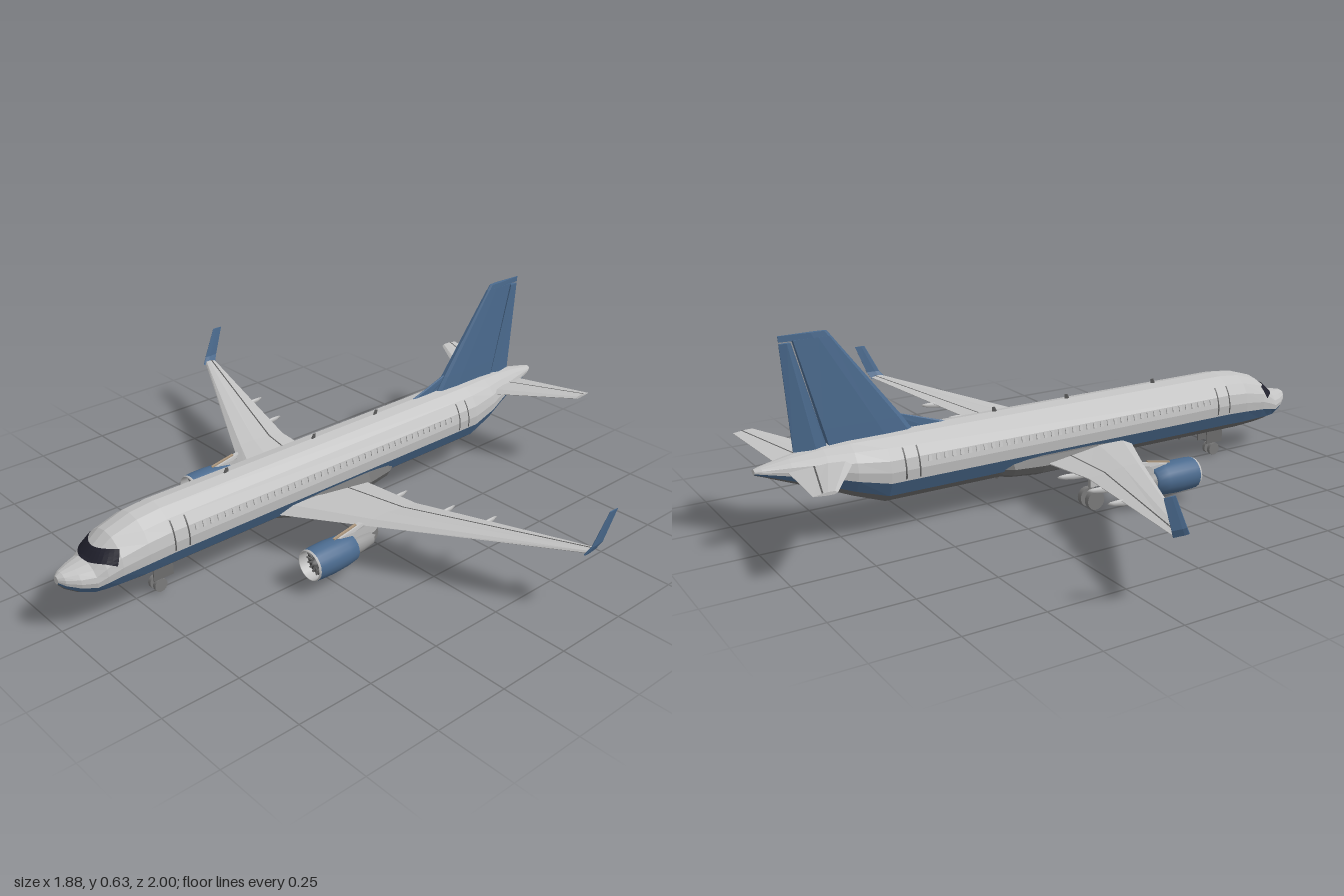
import * as THREE from 'three';
import { mergeGeometries } from 'three/addons/utils/BufferGeometryUtils.js';

const mat = (name, color, side = THREE.FrontSide) => new THREE.MeshStandardMaterial({ name, color, side });
const rad = THREE.MathUtils.degToRad;

// Skin joining closed loops of points, with end caps; flat-faced, one group per column
function loft(rings, colourOf) {
  const n = rings[0].length, last = (rings.length - 1) * n, idx = [], pos = rings.flat(2);
  const geo = new THREE.BufferGeometry();
  for (let j = 0; j < n; j++) {
    const start = idx.length, k = (j + 1) % n;
    for (let i = 0; i < last; i += n) idx.push(i + j, i + k, i + n + k, i + j, i + n + k, i + n + j);
    if (colourOf) geo.addGroup(start, idx.length - start, colourOf(j));
  }
  const capStart = idx.length;
  for (let j = 1; j < n - 1; j++) idx.push(0, j + 1, j, last, last + j, last + j + 1);
  if (colourOf) geo.addGroup(capStart, idx.length - capStart, 0);
  // turn the faces outward whichever way the loops run
  const v = (i) => new THREE.Vector3().fromArray(pos, idx[i] * 3);
  let volume = 0;
  for (let i = 0; i < idx.length; i += 3) volume += v(i).dot(v(i + 1).cross(v(i + 2)));
  if (volume < 0) for (let i = 0; i < idx.length; i += 3) [idx[i], idx[i + 1]] = [idx[i + 1], idx[i]];
  geo.setAttribute('position', new THREE.Float32BufferAttribute(pos, 3));
  geo.setIndex(idx);
  const flat = geo.toNonIndexed();
  flat.computeVertexNormals();
  return flat;
}

// Open sheet sampled from a function of u, v
function sheet(fn, nu, nv) {
  const pos = [];
  for (let i = 0; i < nu; i++) for (let j = 0; j < nv; j++) {
    const p = (a, b) => fn((i + a) / nu, (j + b) / nv);
    pos.push(...p(0, 0), ...p(1, 0), ...p(1, 1), ...p(0, 0), ...p(1, 1), ...p(0, 1));
  }
  const geo = new THREE.BufferGeometry();
  geo.setAttribute('position', new THREE.Float32BufferAttribute(pos, 3));
  geo.computeVertexNormals();
  return geo;
}

// Aerofoil surfaces; stations are [x, y, leading z, trailing z, thickness]
const FOIL = [[0, 0], [0.12, 0.5], [0.4, 0.55], [1, 0.04], [1, -0.04], [0.4, -0.4], [0.12, -0.4]];
const wingFoil = (st) => loft(st.map(([x, y, a, b, t]) => FOIL.map(([f, h]) => [x, y + h * t, a + (b - a) * f])));
// upright foil with chosen bluntness of the front and back edges
const finFoil = (st, front = 0.1, back = 0.08) => loft(st.map(([x, y, a, b, t]) =>
  [[0, front], [0.06, 0.4], [0.35, 0.5], [1, back], [1, -back], [0.35, -0.5], [0.06, -0.4], [0, -front]]
    .map(([f, h]) => [x + h * t, y, a + (b - a) * f])));

// Fuselage outline: [z, top, bottom, half width]
const HULL = [[1, 0.185, 0.16, 0.012], [0.985, 0.193, 0.142, 0.03], [0.95, 0.2, 0.12, 0.055], [0.91, 0.207, 0.106, 0.074],
  [0.88, 0.236, 0.1, 0.083], [0.835, 0.269, 0.095, 0.092], [0.75, 0.295, 0.09, 0.099], [0.67, 0.303, 0.09, 0.1],
  [-0.62, 0.303, 0.09, 0.1], [-0.72, 0.301, 0.128, 0.09], [-0.8, 0.295, 0.163, 0.068], [-0.9, 0.28, 0.202, 0.043],
  [-0.98, 0.264, 0.235, 0.022], [-1, 0.259, 0.242, 0.012]];
function hull(z, deg, off = 0) {
  let i = 0;
  while (i < HULL.length - 2 && z < HULL[i + 1][0]) i++;
  const k = (HULL[i][0] - z) / (HULL[i][0] - HULL[i + 1][0]);
  const [top, bot, w] = [1, 2, 3].map((c) => THREE.MathUtils.lerp(HULL[i][c], HULL[i + 1][c], k));
  return [(w + off) * Math.cos(rad(deg)), (top + bot) / 2 + ((top - bot) / 2 + off) * Math.sin(rad(deg)), z];
}

export function createModel() {
  const root = new THREE.Group();
  root.name = 'airliner';
  const grey = mat('light grey paint', 0xc2c2c2), blue = mat('blue paint', 0x4b6b8f), under = mat('belly grey', 0x6e6e6e);
  const glass = mat('dark glass', 0x20202c, THREE.DoubleSide), seam = mat('dark seam', 0x5a5a5a, THREE.DoubleSide);
  const metal = mat('metal', 0x9a9a9a), rubber = mat('wheel grey', 0x7c7c7c);
  const dark = mat('fan dark', 0x4a4a4a), tan = mat('tan', 0xb09a80);
  const add = (name, geo, m, parent = root) => {
    const mesh = new THREE.Mesh(geo, m);
    mesh.name = name;
    parent.add(mesh);
    return mesh;
  };
  const box = (w, h, d, x, y, z) => new THREE.BoxGeometry(w, h, d).translate(x, y, z);

  // Fuselage with a blue band low on each side and a darker belly
  const half = [90, 68, 45, 23, 4, -14, -42, -66];
  const angles = [...half, -90, ...half.slice(1).reverse().map((a) => 180 - a)];
  const bandOf = (j) => (j === 5 || j === 10 ? 1 : j > 5 && j < 10 ? 2 : 0);
  add('fuselage', loft(HULL.map(([z]) => angles.map((a) => hull(z, a))), bandOf), [grey, blue, under]);

  // Wraparound cockpit windscreen
  add('windscreen', sheet((u, v) => {
    const t = u * 2 - 1, s = Math.abs(t);
    const a = THREE.MathUtils.lerp(90 - 75 * s, 90 - 50 * s, v);
    return hull(THREE.MathUtils.lerp(0.914 - 0.062 * s * s, 0.88 - 0.047 * s * s, v), t < 0 ? 180 - a : a, 0.003);
  }, 16, 4), glass);

  // Belly fairing between the wings
  const belly = [[0.31, 0.05, 0.02], [0.22, 0.096, 0.044], [0.1, 0.112, 0.052], [-0.1, 0.112, 0.052], [-0.2, 0.095, 0.044], [-0.29, 0.04, 0.02]];
  add('bellyFairing', loft(belly.map(([z, w, h]) => Array.from({ length: 12 }, (_, i) =>
    [w * Math.cos(i * Math.PI / 6), 0.132 + h * Math.sin(i * Math.PI / 6), z]))), under);

  // Cabin windows and door edges
  const panes = [], lines = [];
  for (const side of [1, -1]) {
    const at = (a) => (side > 0 ? a : 180 - a);
    for (let z = 0.585; z > -0.5; z -= 0.027) {
      const [x, y] = hull(z, at(17));
      panes.push(new THREE.BoxGeometry(0.005, 0.018, 0.011).rotateZ(side * rad(17)).translate(x, y, z));
    }
    for (const z of [0.665, 0.615, -0.53, -0.575]) {
      lines.push(sheet((u, v) => hull(z + 0.005 * (v - 0.5), at(-10 + 52 * u), 0.002), 8, 1));
    }
  }
  add('cabinWindows', mergeGeometries(panes), grey);
  add('doorEdges', mergeGeometries(lines), seam);

  // Fin, rudder and dorsal fillet
  add('fin', finFoil([[0, 0.28, -0.495, -0.773, 0.036], [0, 0.345, -0.54, -0.79, 0.033], [0, 0.614, -0.748, -0.863, 0.016]], 0.2, 0.4), blue);
  add('finTip', finFoil([[0, 0.612, -0.746, -0.903, 0.016], [0, 0.63, -0.76, -0.905, 0.014]]), blue);
  add('rudder', finFoil([[0, 0.288, -0.781, -0.88, 0.028], [0, 0.607, -0.869, -0.903, 0.014]], 0.4), blue);
  add('dorsalFillet', finFoil([[0, 0.295, -0.37, -0.62, 0.009], [0, 0.35, -0.545, -0.62, 0.009]]), blue);

  // Antennas along the spine and belly
  for (const z of [0.405, 0.055, -0.217]) add('antenna', finFoil([[0, 0.298, z + 0.01, z - 0.01, 0.006], [0, 0.317, z, z - 0.01, 0.004]]), seam);
  for (const z of [0.53, -0.21]) add('bellyAntenna', finFoil([[0, 0.095, z + 0.01, z - 0.008, 0.006], [0, 0.078, z, z - 0.008, 0.004]]), seam);

  for (const s of [1, -1]) {
    const side = s > 0 ? 'left' : 'right';
    const mirror = (st) => st.map(([x, ...rest]) => [s * x, ...rest]);

    // Wing, winglet and tailplane
    const wing = mirror([[0.05, 0.13, 0.277, -0.085, 0.045], [0.33, 0.152, 0.125, -0.085, 0.028], [0.915, 0.205, -0.182, -0.225, 0.01]]);
    const tail = mirror([[0.02, 0.242, -0.7, -0.91, 0.025], [0.322, 0.27, -0.88, -0.95, 0.01]]);
    add(side + 'Wing', wingFoil(wing), grey);
    add(side + 'Tailplane', wingFoil(tail), grey);
    add(side + 'Winglet', finFoil(mirror([[0.913, 0.2, -0.172, -0.226, 0.008], [0.924, 0.225, -0.19, -0.24, 0.007], [0.936, 0.325, -0.24, -0.278, 0.004]])), blue);

    // Hinge seams of flaps and elevators
    const hinge = (st, fr) => st.slice(1).map((b, i) => sheet((u, v) => {
      const [x, y, le, te, t] = st[i].map((c, k) => THREE.MathUtils.lerp(c, b[k], u));
      const f = THREE.MathUtils.lerp(fr[i], fr[i + 1], u);
      return [x, y + t * (0.55 - 0.85 * (f - 0.4)) + 0.0015, le + (te - le) * f + 0.005 * (v - 0.5)];
    }, 1, 1));
    add(side + 'HingeSeams', mergeGeometries([...hinge(wing, [0.75, 0.72, 0.66]), ...hinge(tail, [0.62, 0.62])]), seam);

    // Flap track fairings under the trailing edge
    for (const [x, y, z] of [[0.24, 0.132, -0.08], [0.43, 0.152, -0.1], [0.575, 0.166, -0.13]]) {
      const pod = new THREE.SphereGeometry(1, 8, 6).scale(0.006, 0.01, 0.06);
      add(side + 'FlapFairing', pod.rotateX(0.12).translate(s * x, y, z), grey);
    }

    // Engine: nacelle, lip, fan, core and pylon
    const engine = new THREE.Group();
    engine.name = side + 'Engine';
    engine.position.set(s * 0.307, 0.087, 0);
    root.add(engine);
    const turned = (pts) => new THREE.LatheGeometry(pts.map((p) => new THREE.Vector2(...p)), 20).rotateX(Math.PI / 2);
    add('nacelle', turned([[0.028, 0.172], [0.044, 0.172], [0.05, 0.21], [0.053, 0.26], [0.052, 0.31], [0.05, 0.33]]), blue, engine);
    add('intakeLip', turned([[0.05, 0.33], [0.048, 0.337], [0.046, 0.336], [0.044, 0.3]]), grey, engine);
    add('core', turned([[0, 0.065], [0.012, 0.085], [0.022, 0.09], [0.03, 0.14], [0.032, 0.175]]), metal, engine);
    add('fanDisc', new THREE.CircleGeometry(0.045, 20).translate(0, 0, 0.304), dark, engine);
    const blades = Array.from({ length: 16 }, (_, i) =>
      box(0.006, 0.032, 0.003, 0, 0.027, 0.308).rotateZ(i * Math.PI / 8));
    add('fanBlades', mergeGeometries(blades), rubber, engine);
    add('spinner', turned([[0.013, 0.304], [0.008, 0.318], [0, 0.325]]), rubber, engine);
    add('pylon', finFoil([[0, 0.015, 0.25, 0.07, 0.02], [0, 0.053, 0.23, 0.03, 0.02], [0, 0.068, 0.15, 0.0, 0.018]]), grey, engine);
    add('pylonStrip', box(0.008, 0.005, 0.09, 0, 0, 0).rotateX(0.185).translate(0, 0.061, 0.195), tan, engine);

    // Main landing gear
    const gear = new THREE.Group();
    gear.name = side + 'MainGear';
    gear.position.set(s * 0.203, 0, 0.012);
    root.add(gear);
    add('strut', new THREE.CylinderGeometry(0.011, 0.008, 0.11, 10).translate(0, 0.088, 0), metal, gear);
    add('axle', new THREE.CylinderGeometry(0.006, 0.006, 0.04, 8).rotateZ(Math.PI / 2).translate(0, 0.031, 0), metal, gear);
    for (const w of [-0.02, 0.02]) {
      add('wheel', new THREE.CylinderGeometry(0.031, 0.031, 0.018, 20).rotateZ(Math.PI / 2).translate(w, 0.031, 0), rubber, gear);
    }
    add('gearDoor', box(0.005, 0.055, 0.045, s * 0.014, 0.1, 0.01), grey, gear);

    // Nose gear wheel and door
    add(side + 'NoseWheel', new THREE.CylinderGeometry(0.022, 0.022, 0.012, 18).rotateZ(Math.PI / 2).translate(s * 0.013, 0.022, 0.672), rubber);
    add(side + 'NoseGearDoor', box(0.004, 0.045, 0.07, s * 0.024, 0.072, 0.665), under);
  }
  add('noseStrut', new THREE.CylinderGeometry(0.007, 0.007, 0.08, 10).translate(0, 0.06, 0.672), metal);
  add('noseAxle', new THREE.CylinderGeometry(0.005, 0.005, 0.03, 8).rotateZ(Math.PI / 2).translate(0, 0.022, 0.672), metal);
  return root;
}
